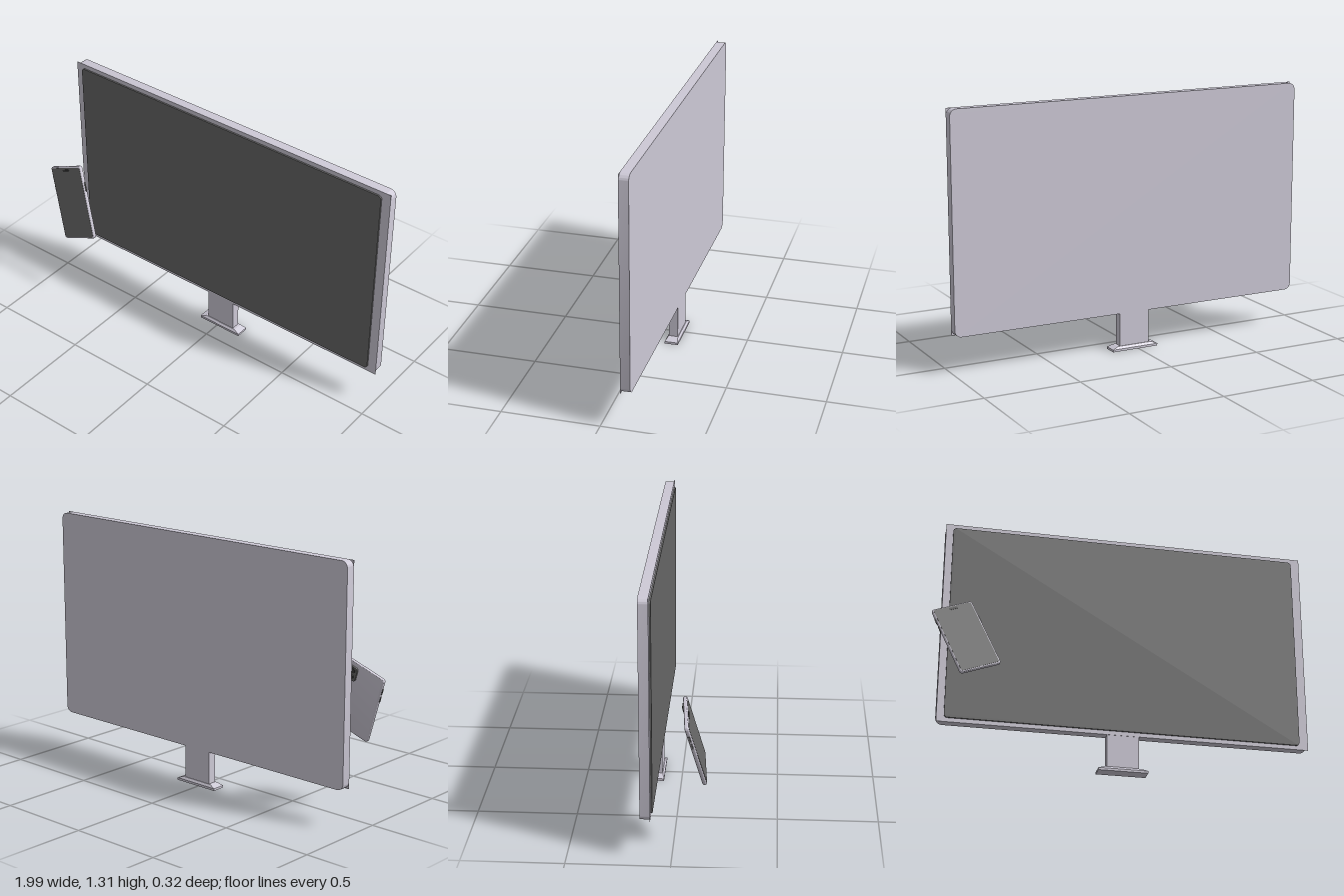
import * as THREE from 'three';
import { toCreasedNormals } from 'three/addons/utils/BufferGeometryUtils.js';

const casing = new THREE.MeshStandardMaterial({ color: 0xcdc9d6 });
const dark = new THREE.MeshStandardMaterial({ color: 0x666666 });
const black = new THREE.MeshStandardMaterial({ color: 0x3a3a3a });

function part(parent, name, geometry, material, x = 0, y = 0, z = 0) {
  const mesh = new THREE.Mesh(geometry, material);
  mesh.name = name;
  mesh.position.set(x, y, z);
  parent.add(mesh);
  return mesh;
}

// Rounded rectangle slab centred on the origin, with optional softened rims
function slab(w, h, d, r, bevel = 0) {
  const x = w / 2 - bevel, y = h / 2 - bevel;
  const s = new THREE.Shape();
  s.moveTo(-x + r, -y);
  s.lineTo(x - r, -y);
  s.absarc(x - r, -y + r, r, -Math.PI / 2, 0);
  s.lineTo(x, y - r);
  s.absarc(x - r, y - r, r, 0, Math.PI / 2);
  s.lineTo(-x + r, y);
  s.absarc(-x + r, y - r, r, Math.PI / 2, Math.PI);
  s.lineTo(-x, -y + r);
  s.absarc(-x + r, -y + r, r, Math.PI, Math.PI * 1.5);
  const g = new THREE.ExtrudeGeometry(s, {
    depth: d - 2 * bevel, curveSegments: 8, bevelEnabled: bevel > 0,
    bevelThickness: bevel, bevelSize: bevel, bevelSegments: 4,
  });
  g.translate(0, 0, -d / 2 + bevel);
  return toCreasedNormals(g, 0.6);
}

function createMonitor() {
  const monitor = new THREE.Group();
  monitor.name = 'monitor';
  part(monitor, 'monitorBody', slab(1.93, 1.115, 0.048, 0.035), casing, 0.035, 0.753, -0.126);
  part(monitor, 'bezelPlate', new THREE.BoxGeometry(1.93, 1.115, 0.002), casing, 0.035, 0.753, -0.102);
  part(monitor, 'screen', slab(1.845, 1.07, 0.01, 0.018), dark, 0.03, 0.752, -0.0975);

  // Stand: flat neck on a foot with a sloping upper rim
  part(monitor, 'neck', new THREE.BoxGeometry(0.165, 0.19, 0.046), casing, 0.018, 0.11, -0.126);
  part(monitor, 'foot', new THREE.BoxGeometry(0.256, 0.012, 0.07), casing, 0.018, 0.006, -0.126);
  const rim = new THREE.BoxGeometry(0.256, 0.012, 0.07);
  const p = rim.attributes.position;
  for (let i = 0; i < p.count; i++) {
    if (p.getY(i) > 0) p.setXYZ(i, p.getX(i) * 0.75, p.getY(i), p.getZ(i) * 0.75);
  }
  rim.computeVertexNormals();
  part(monitor, 'footRim', rim, casing, 0.018, 0.018, -0.126);
  return monitor;
}

function createPhone() {
  const phone = new THREE.Group();
  phone.name = 'phone';
  part(phone, 'phoneBody', slab(0.216, 0.402, 0.02, 0.008, 0.007), casing);
  part(phone, 'phoneScreen', slab(0.2, 0.386, 0.003, 0.01), dark, 0, 0, 0.0095);
  part(phone, 'screenNotch', slab(0.045, 0.012, 0.002, 0.0055), black, 0, 0.178, 0.0112);

  // Camera block on the back with two lenses
  part(phone, 'cameraBlock', slab(0.05, 0.08, 0.01, 0.012), dark, 0.066, 0.138, -0.013);
  for (const y of [0.157, 0.119]) {
    const lens = part(phone, 'cameraLens', new THREE.CylinderGeometry(0.014, 0.014, 0.004, 20), black, 0.066, y, -0.019);
    lens.rotation.x = Math.PI / 2;
  }

  // Side buttons
  part(phone, 'powerButton', slab(0.006, 0.05, 0.007, 0.002), dark, 0.108, 0.085, 0);
  for (const y of [0.13, 0.08]) {
    part(phone, 'volumeButton', slab(0.006, 0.035, 0.007, 0.002), dark, -0.108, y, 0);
  }

  phone.position.set(-0.822, 0.57, 0.105);
  phone.rotation.set(-0.22, 0, 0.39);
  return phone;
}

export function createModel() {
  const model = new THREE.Group();
  model.name = 'monitorAndPhone';
  model.add(createMonitor(), createPhone());
  return model;
}
